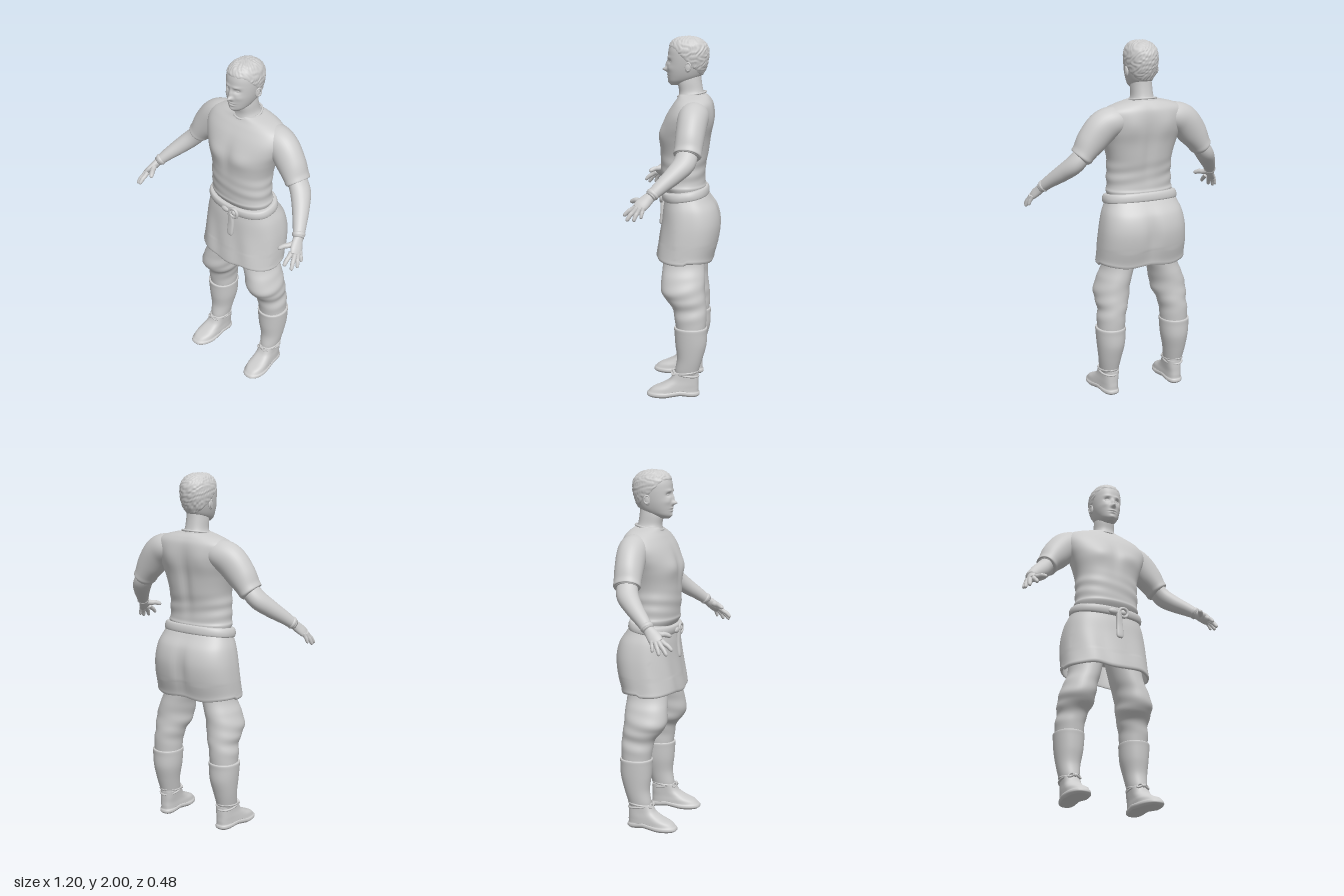
import * as THREE from 'three';

const grey = new THREE.MeshStandardMaterial({ color: 0xcccccc, side: THREE.DoubleSide });
grey.name = 'light grey';

const mesh = (name, geometry) => {
  const m = new THREE.Mesh(geometry, grey);
  m.name = name;
  return m;
};

// Smooth interpolation of every column of a table of sections
function section(rows, t) {
  const f = t * (rows.length - 1), i = Math.min(Math.floor(f), rows.length - 2), k = f - i;
  const at = (j) => rows[Math.max(0, Math.min(rows.length - 1, j))];
  return rows[0].map((_, c) => {
    const [p, q, r, s] = [at(i - 1)[c], at(i)[c], at(i + 1)[c], at(i + 2)[c]];
    return q + 0.5 * k * (r - p + k * (2 * p - 5 * q + 4 * r - s + k * (3 * (q - r) + s - p)));
  });
}

// Closed skin over rings; side = -1 mirrors it in x
function skin(ringAt, nu, nv, side = 1, warp = null) {
  const pos = [], idx = [];
  const push = (p) => pos.push(p.x * side, p.y, p.z);
  const tri = (a, b, c) => (side > 0 ? idx.push(a, b, c) : idx.push(a, c, b));
  for (let i = 0; i <= nu; i++) {
    const ring = ringAt(i / nu);
    for (let j = 0; j < nv; j++) {
      const p = ring((j / nv) * Math.PI * 2);
      if (warp) warp(p);
      push(p);
    }
  }
  for (let i = 0; i < nu; i++) for (let j = 0; j < nv; j++) {
    const a = i * nv + j, b = i * nv + ((j + 1) % nv);
    tri(a, a + nv, b);
    tri(b, a + nv, b + nv);
  }
  for (const i of [0, nu]) {
    const mid = new THREE.Vector3(), n = pos.length / 3;
    for (let j = 0; j < nv; j++) {
      const k = (i * nv + j) * 3;
      mid.add(new THREE.Vector3(pos[k] * side, pos[k + 1], pos[k + 2]).divideScalar(nv));
    }
    push(mid);
    for (let j = 0; j < nv; j++) {
      const a = i * nv + j, b = i * nv + ((j + 1) % nv);
      i ? tri(n, b, a) : tri(n, a, b);
    }
  }
  const g = new THREE.BufferGeometry();
  g.setAttribute('position', new THREE.Float32BufferAttribute(pos, 3));
  g.setIndex(idx);
  g.computeVertexNormals();
  return g;
}

// Level sections: [y, centre x, half width, front z, back z]
function body(rows, { nu = 50, nv = 56, n = 2.3, side = 1, warp = null } = {}) {
  const pw = (v) => Math.sign(v) * Math.abs(v) ** (2 / n);
  return skin((t) => {
    const [y, cx, w, zf, zb] = section(rows, t);
    return (a) => new THREE.Vector3(cx + w * pw(Math.cos(a)), y, (zf + zb) / 2 + ((zf - zb) / 2) * pw(Math.sin(a)));
  }, nu, nv, side, warp);
}

// Sections square to a path: [x, y, z, thickness radius, z radius]
function limb(rows, { nu = 24, nv = 28, side = 1 } = {}) {
  const at = (t) => new THREE.Vector3(...section(rows, t).slice(0, 3));
  return skin((t) => {
    const s = section(rows, t), c = at(t);
    const d = at(Math.min(1, t + 0.02)).sub(at(Math.max(0, t - 0.02))).normalize();
    const v = new THREE.Vector3(0, 0, 1).addScaledVector(d, -d.z).normalize();
    const u = d.clone().cross(v);
    return (a) => c.clone().addScaledVector(u, s[3] * Math.cos(a)).addScaledVector(v, s[4] * Math.sin(a));
  }, nu, nv, side);
}

// Oval loop of cord; drop lowers the front and raises the back
function loop(x, y, z, rx, rz, drop, r) {
  const pts = [];
  for (let i = 0; i < 24; i++) {
    const a = (i / 24) * Math.PI * 2;
    pts.push(new THREE.Vector3(x + rx * Math.cos(a), y - drop * Math.sin(a), z + rz * Math.sin(a)));
  }
  return new THREE.TubeGeometry(new THREE.CatmullRomCurve3(pts, true), 72, r, 10, true);
}

function ball(name, x, y, z, sx, sy, sz) {
  const m = mesh(name, new THREE.SphereGeometry(1, 20, 14));
  m.position.set(x, y, z);
  m.scale.set(sx, sy, sz);
  return m;
}

const bell = (d, s) => Math.exp(-(d * d) / (s * s));

function createHead() {
  const g = new THREE.Group();
  g.name = 'head';
  const rows = [
    [1.732, 0, 0.022, 0.036, -0.01], [1.75, 0, 0.047, 0.048, -0.07], [1.775, 0, 0.063, 0.053, -0.122],
    [1.81, 0, 0.075, 0.056, -0.148], [1.85, 0, 0.083, 0.055, -0.164], [1.89, 0, 0.087, 0.053, -0.171],
    [1.925, 0, 0.086, 0.05, -0.17], [1.955, 0, 0.077, 0.04, -0.158], [1.978, 0, 0.059, 0.02, -0.133],
    [1.991, 0, 0.036, -0.01, -0.1], [1.996, 0, 0.004, -0.05, -0.06]];
  // Face relief: [x, y, spread x, spread y, depth]
  const relief = [
    [0, 1.817, 0.013, 0.011, 0.025], [0, 1.843, 0.009, 0.022, 0.012], [0, 1.788, 0.02, 0.005, 0.006],
    [0, 1.775, 0.017, 0.005, 0.006], [0, 1.7815, 0.022, 0.003, -0.005], [0, 1.748, 0.018, 0.012, 0.006]];
  for (const s of [-1, 1]) relief.push(
    [0.033 * s, 1.862, 0.016, 0.011, -0.013], [0.03 * s, 1.885, 0.02, 0.008, 0.005], [0.046 * s, 1.825, 0.018, 0.015, 0.004]);
  const face = (p) => {
    if (p.z < -0.03) return;
    const { x, y } = p;
    for (const [rx, ry, sx, sy, d] of relief) p.z += d * bell(x - rx, sx) * bell(y - ry, sy);
  };
  g.add(mesh('face', body(rows, { nu: 90, nv: 96, n: 2.2, warp: face })));
  // Short cropped hair, tucked under the skin outside the hairline
  const crop = (p) => {
    const over = p.y - Math.min(1.94, 1.92 + p.z);
    const tuft = 0.0025 * Math.sin(p.x * 170 + 3 * Math.sin(p.z * 70)) * Math.sin(p.z * 210 + 4 * Math.sin(p.x * 55 + p.y * 80));
    const c = new THREE.Vector3(0, 1.88, -0.055);
    const lift = Math.max(-0.008, Math.min(0.003, over * 0.4)) + (over > 0 ? tuft : 0);
    p.addScaledVector(p.clone().sub(c).normalize(), lift);
  };
  g.add(mesh('hair', body(rows, { nu: 80, nv: 110, n: 2.2, warp: crop })));
  g.add(mesh('neck', body([[1.64, 0, 0.085, 0.0, -0.17], [1.67, 0, 0.073, -0.005, -0.158], [1.7, 0, 0.06, -0.008, -0.143],
    [1.75, 0, 0.056, 0.0, -0.134], [1.8, 0, 0.05, -0.01, -0.13]], { nu: 20, nv: 40 })));
  for (const s of [-1, 1]) {
    g.add(ball('eye', 0.032 * s, 1.861, 0.027, 0.014, 0.009, 0.012));
    g.add(ball('ear', 0.084 * s, 1.832, -0.062, 0.008, 0.027, 0.017));
    const rim = mesh('earRim', new THREE.TorusGeometry(0.015, 0.004, 8, 24));
    rim.position.set(0.09 * s, 1.837, -0.064);
    rim.rotation.y = s * 1.25;
    rim.scale.y = 1.4;
    g.add(rim);
  }
  return g;
}

function createArm(side) {
  const g = new THREE.Group();
  g.name = side > 0 ? 'leftArm' : 'rightArm';
  const add = (name, rows, o) => g.add(mesh(name, limb(rows, { side, ...o })));
  add('sleeve', [[0.08, 1.575, -0.098, 0.06, 0.065], [0.17, 1.578, -0.1, 0.08, 0.084], [0.24, 1.548, -0.096, 0.09, 0.082],
    [0.305, 1.475, -0.088, 0.083, 0.078], [0.345, 1.418, -0.082, 0.066, 0.075], [0.362, 1.393, -0.079, 0.062, 0.075],
    [0.367, 1.387, -0.078, 0.05, 0.062]], { nu: 40, nv: 36 });
  add('forearm', [[0.34, 1.42, -0.08, 0.045, 0.055], [0.39, 1.355, -0.066, 0.05, 0.06], [0.44, 1.3, -0.015, 0.046, 0.05],
    [0.49, 1.245, 0.05, 0.036, 0.039], [0.528, 1.198, 0.103, 0.027, 0.03]]);
  add('cuff', [[0.512, 1.217, 0.082, 0.027, 0.03], [0.516, 1.213, 0.087, 0.033, 0.036], [0.521, 1.207, 0.094, 0.032, 0.035],
    [0.525, 1.202, 0.099, 0.025, 0.028]]);
  add('palm', [[0.522, 1.205, 0.095, 0.022, 0.027], [0.536, 1.18, 0.122, 0.021, 0.034], [0.552, 1.157, 0.148, 0.018, 0.037],
    [0.563, 1.142, 0.165, 0.012, 0.03]]);
  // Thumb and fingers: base, tip, radius
  const digits = { thumb: [[0.53, 1.182, 0.135], [0.478, 1.165, 0.21], 0.014], index: [[0.543, 1.152, 0.175], [0.546, 1.1, 0.24], 0.012],
    middle: [[0.56, 1.148, 0.167], [0.583, 1.08, 0.222], 0.012], ring: [[0.567, 1.147, 0.152], [0.593, 1.08, 0.184], 0.0115],
    little: [[0.567, 1.15, 0.133], [0.588, 1.095, 0.145], 0.01] };
  for (const [name, [a, b, r]] of Object.entries(digits)) {
    const rows = [[0, 1.25], [0.35, 1.05], [0.6, 1.0], [0.9, 0.8], [1, 0.25]].map(([k, w]) => [
      ...a.map((v, i) => v + (b[i] - v) * k), r * w, r * w]);
    rows[2][1] += 0.004;
    add(name + 'Finger', rows, { nu: 14, nv: 14 });
  }
  return g;
}

function createLeg(side) {
  const g = new THREE.Group();
  g.name = side > 0 ? 'leftLeg' : 'rightLeg';
  const add = (name, rows, o) => g.add(mesh(name, body(rows, { side, nv: 40, n: 2.1, ...o })));
  const folds = (p) => { p.x += 0.0025 * Math.sin(p.y * 75 + p.z * 18) * bell(p.y - 0.55, 0.12); };
  add('trouserLeg', [[0.37, 0.197, 0.074, -0.01, -0.17], [0.45, 0.196, 0.079, 0.002, -0.176], [0.51, 0.187, 0.081, 0.015, -0.175],
    [0.56, 0.18, 0.094, 0.055, -0.17], [0.61, 0.175, 0.097, 0.08, -0.165], [0.68, 0.157, 0.091, 0.077, -0.165],
    [0.76, 0.13, 0.087, 0.07, -0.162], [0.92, 0.105, 0.1, 0.055, -0.17]], { warp: folds });
  add('boot', [[0.12, 0.202, 0.046, -0.004, -0.126], [0.15, 0.203, 0.053, -0.002, -0.135],
    [0.22, 0.203, 0.064, -0.012, -0.156], [0.3, 0.2, 0.077, -0.003, -0.177], [0.37, 0.2, 0.083, 0.002, -0.18],
    [0.398, 0.2, 0.084, 0.004, -0.181], [0.402, 0.2, 0.076, -0.004, -0.172]]);
  // Foot narrows at the heel and turns slightly outward
  const tread = (p) => {
    p.x = 0.208 + (p.x - 0.208) * (0.82 + 0.2 * bell(p.z - 0.08, 0.09)) + 0.06 * p.z;
    if (p.y < 0.03) p.y += 0.012 * bell(p.z + 0.03, 0.05);
  };
  add('shoe', [[0, 0.208, 0.056, 0.143, -0.13], [0.01, 0.208, 0.066, 0.156, -0.14], [0.022, 0.208, 0.066, 0.154, -0.139],
    [0.03, 0.208, 0.061, 0.146, -0.134], [0.05, 0.208, 0.059, 0.122, -0.134], [0.072, 0.208, 0.057, 0.07, -0.133],
    [0.1, 0.206, 0.056, 0.026, -0.133], [0.14, 0.204, 0.057, 0.004, -0.132]], { n: 2.8, warp: tread });
  // Ankle cords with a bow
  for (const [y, drop] of [[0.128, -0.01], [0.142, 0.008]])
    g.add(mesh('ankleCord', loop(0.204 * side, y, -0.065, 0.051, 0.067, drop, 0.006)));
  for (const s of [-1, 1]) {
    const bow = mesh('bowLoop', new THREE.TorusGeometry(0.016, 0.006, 8, 18));
    bow.position.set(0.204 * side + 0.021 * s, 0.138, 0.008);
    bow.scale.y = 0.6;
    bow.rotation.set(-0.5, 0.5 * s, -0.35 * s);
    g.add(bow);
  }
  g.add(ball('bowKnot', 0.204 * side, 0.14, 0.012, 0.01, 0.01, 0.008));
  return g;
}

export function createModel() {
  const model = new THREE.Group();
  model.name = 'man in tunic';

  // Tunic with chest, spine groove, shoulder blades and waist creases
  const chest = (p) => {
    const { x, y } = p;
    if (p.z > 0) p.z += 0.01 * (bell(Math.abs(x) - 0.09, 0.06) * bell(y - 1.47, 0.05) - 0.7 * bell(x, 0.03) * bell(y - 1.46, 0.1));
    if (p.z < -0.1) p.z += 0.014 * bell(x, 0.03) * bell(y - 1.42, 0.17) - 0.008 * bell(Math.abs(x) - 0.1, 0.05) * bell(y - 1.55, 0.07);
    const crease = 0.0025 * Math.sin(y * 85 + x * 14) * bell(y - 1.26, 0.07);
    p.x += Math.sign(x) * crease * Math.min(1, Math.abs(x) * 8);
    p.z += Math.sign(p.z + 0.04) * crease * 0.5;
  };
  model.add(mesh('tunic', body([[1.13, 0, 0.18, 0.06, -0.14], [1.172, 0, 0.193, 0.085, -0.162], [1.2, 0, 0.188, 0.085, -0.157],
    [1.28, 0, 0.187, 0.092, -0.16], [1.36, 0, 0.188, 0.094, -0.176], [1.45, 0, 0.214, 0.097, -0.188], [1.52, 0, 0.242, 0.081, -0.199],
    [1.58, 0, 0.255, 0.055, -0.202], [1.63, 0, 0.235, 0.023, -0.197], [1.661, 0, 0.175, 0.0, -0.182],
    [1.683, 0, 0.082, -0.01, -0.162]], { nu: 90, nv: 80, n: 2.2, warp: chest })));
  model.add(mesh('collar', loop(0, 1.682, -0.08, 0.075, 0.077, 0.014, 0.006)));

  // Skirt with a folded-in hem, hollow below
  const seat = (p) => {
    if (p.z < -0.1) p.z += 0.018 * bell(p.x, 0.035) * bell(p.y - 0.93, 0.12);
    if (p.z > 0) p.z += 0.004 * Math.sin(p.x * 42 + p.y * 9) * bell(p.y - 0.85, 0.15);
    if (p.y < 0.86) p.y += 0.006 * Math.cos(p.x * 24 + 3) * Math.sign(p.z + 0.05);
  };
  model.add(mesh('skirt', body([[0.9, 0, 0.23, 0.08, -0.21], [0.78, 0, 0.242, 0.1, -0.2], [0.765, 0, 0.25, 0.108, -0.206],
    [0.775, 0, 0.257, 0.115, -0.212], [0.8, 0, 0.255, 0.113, -0.217], [0.88, 0, 0.253, 0.1, -0.238], [0.97, 0, 0.246, 0.087, -0.245],
    [1.05, 0, 0.231, 0.078, -0.227], [1.11, 0, 0.208, 0.068, -0.187], [1.165, 0, 0.185, 0.065, -0.15]],
  { nu: 80, nv: 80, n: 2.5, warp: seat })));

  // Belt dipping toward the front, buckle and hanging strap
  const dip = (p) => { p.y -= 0.14 * (p.z + 0.05); };
  model.add(mesh('belt', body([[1.108, 0, 0.2, 0.062, -0.16], [1.112, 0, 0.213, 0.08, -0.177], [1.135, 0, 0.215, 0.088, -0.178],
    [1.156, 0, 0.206, 0.085, -0.17], [1.16, 0, 0.19, 0.07, -0.155]], { nu: 20, nv: 72, n: 2.4, warp: dip })));
  const buckle = mesh('buckle', new THREE.TorusGeometry(0.027, 0.009, 10, 30));
  buckle.position.set(0.048, 1.112, 0.088);
  model.add(buckle, ball('buckleStud', 0.048, 1.112, 0.084, 0.017, 0.017, 0.014), ball('beltKnot', -0.015, 1.11, 0.083, 0.03, 0.018, 0.015));
  model.add(mesh('hangingStrap', body([[0.95, 0.024, 0.012, 0.096, 0.08], [0.965, 0.024, 0.02, 0.1, 0.08], [1.03, 0.025, 0.02, 0.095, 0.07],
    [1.09, 0.022, 0.016, 0.096, 0.07], [1.12, 0.02, 0.013, 0.095, 0.07]], { nu: 20, nv: 20, n: 3 })));

  model.add(createHead());
  for (const side of [1, -1]) model.add(createArm(side), createLeg(side));
  return model;
}
